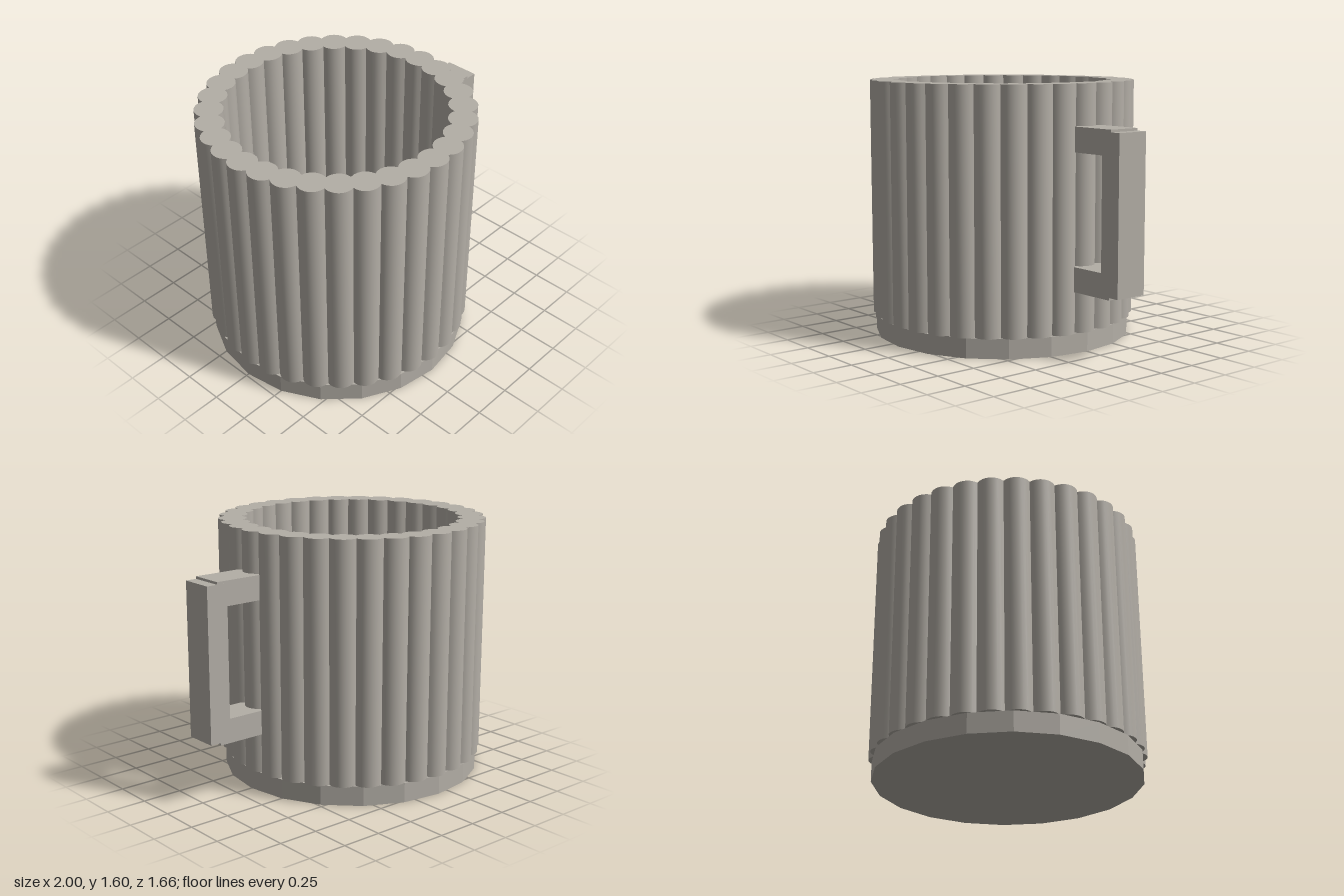
import * as THREE from 'three';
import { toCreasedNormals } from 'three/addons/utils/BufferGeometryUtils.js';

const CENTRE_X = -0.172;
const COLUMNS = 32;
const RING = 0.74;    // radius of the circle the column centres sit on
const COLUMN = 0.088; // radius of each column
const BASE_TOP = 0.122;
const HEIGHT = 1.6;

// Scalloped outline: side +1 follows the outside of the columns, -1 the inside
function scallops(side, segments) {
  const half = Math.PI / COLUMNS;
  const across = RING * Math.sin(half);
  const cusp = RING * Math.cos(half) + side * Math.sqrt(COLUMN ** 2 - across ** 2);
  const end = Math.atan2(cusp * Math.sin(half), cusp * Math.cos(half) - RING);
  const sweep = side > 0 ? end : Math.PI - end;
  const points = [];
  for (let i = 0; i < COLUMNS; i++) {
    const a = 2 * half * i;
    for (let j = 0; j < segments; j++) {
      const t = sweep * (2 * j / segments - 1);
      const b = side > 0 ? a + t : a + Math.PI - t;
      points.push(new THREE.Vector2(
        RING * Math.cos(a) + COLUMN * Math.cos(b),
        RING * Math.sin(a) + COLUMN * Math.sin(b)));
    }
  }
  return points;
}

export function createModel() {
  const model = new THREE.Group();
  model.name = 'mug';
  const stone = new THREE.MeshStandardMaterial({ color: 0xb3aea6 });
  stone.name = 'warm grey';

  const add = (name, geometry, x, y, z, parent = model) => {
    const mesh = new THREE.Mesh(geometry, stone);
    mesh.name = name;
    mesh.position.set(x, y, z);
    parent.add(mesh);
  };

  // Faceted base, whose top is also the floor of the cup
  const base = new THREE.CylinderGeometry(0.81, 0.81, BASE_TOP, 20).toNonIndexed();
  base.computeVertexNormals();
  add('base', base, CENTRE_X, BASE_TOP / 2, 0);

  // Wall of merged upright columns
  const ring = new THREE.Shape(scallops(1, 8));
  ring.holes.push(new THREE.Path(scallops(-1, 6)));
  const wall = new THREE.ExtrudeGeometry(ring, { depth: HEIGHT - BASE_TOP, bevelEnabled: false });
  wall.rotateX(-Math.PI / 2);
  add('columnWall', toCreasedNormals(wall, 0.7), CENTRE_X, BASE_TOP, 0);

  // Square handle: two arms set into the wall and an upright grip
  const handle = new THREE.Group();
  handle.name = 'handle';
  model.add(handle);
  const arm = new THREE.BoxGeometry(0.36, 0.15, 0.208);
  add('upperArm', arm, 0.75, 1.277, 0, handle);
  add('lowerArm', arm, 0.75, 0.45, 0, handle);
  add('grip', new THREE.BoxGeometry(0.138, 0.947, 0.209), 0.931, 0.8635, 0, handle);

  return model;
}
